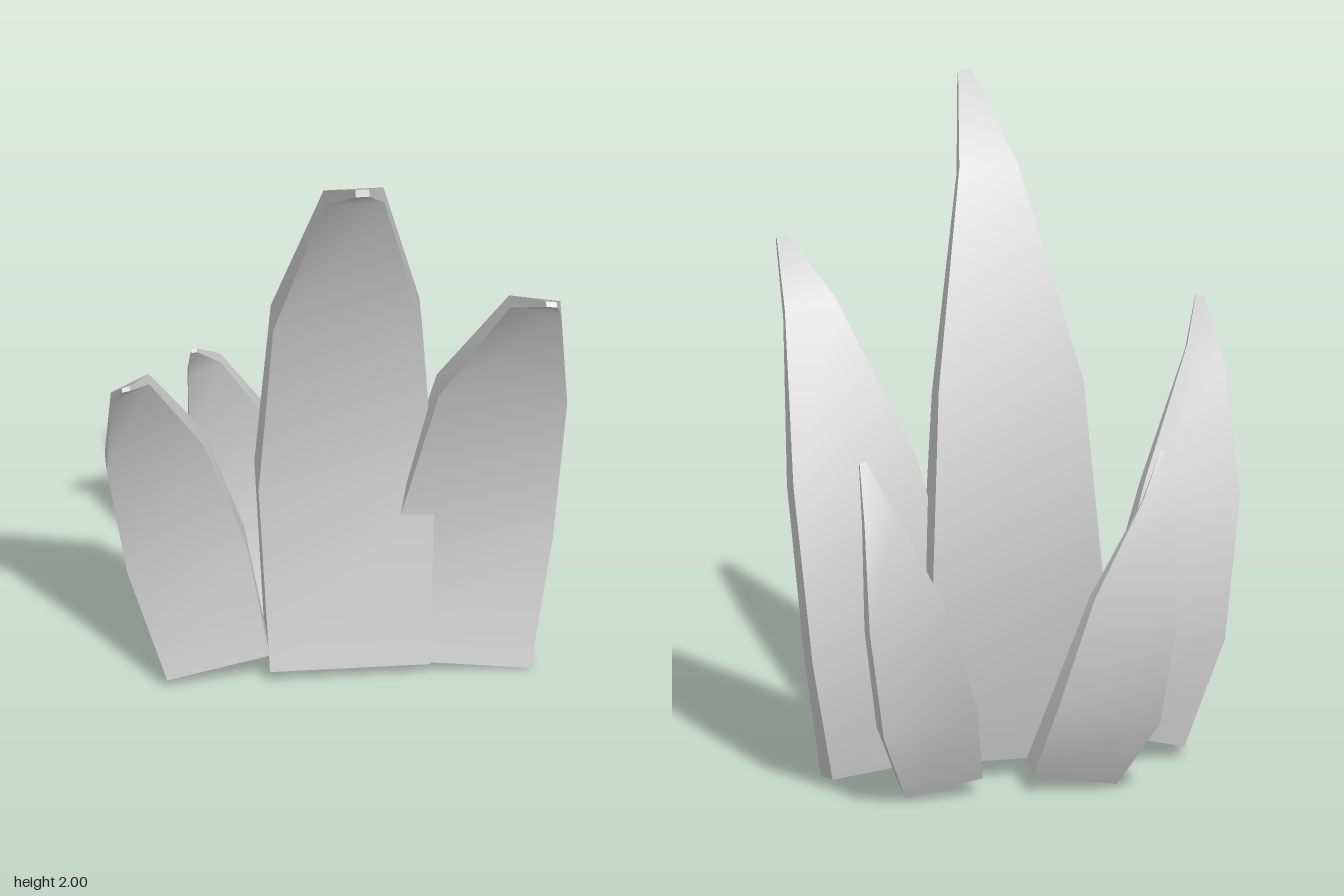
import * as THREE from 'three';

const material = new THREE.MeshStandardMaterial({ color: 0xcccccc });

// Section rows, base to tip: [x1, y1, x2, y2, zBack, zFront, rise of the back edge]
// (x1, y1) and (x2, y2) are the front edge's two ends, x1 < x2.
const blades = {
  centreBlade: [
    [-0.20, 0.05, 0.27, 0.05, -0.12, 0.05, 0.01],
    [-0.22, 0.59, 0.295, 0.59, -0.24, -0.10, 0.01],
    [-0.18, 1.18, 0.255, 1.18, -0.15, -0.065, 0.03],
    [-0.05, 1.77, 0.125, 1.77, 0.13, 0.165, 0.03],
    [0.017, 1.98, 0.057, 1.98, 0.425, 0.435, 0.02],
  ],
  leftFrontBlade: [
    [0.17, 0.055, 0.565, 0.005, -0.115, 0.03, 0.03],
    [0.185, 0.46, 0.64, 0.39, -0.18, -0.08, 0.02],
    [0.30, 0.96, 0.675, 0.91, -0.085, -0.005, 0.02],
    [0.49, 1.39, 0.64, 1.36, 0.165, 0.185, 0.03],
    [0.578, 1.535, 0.61, 1.53, 0.39, 0.40, 0.012],
  ],
  rightFrontBlade: [
    [-0.50, 0.035, -0.20, 0.105, -0.075, 0.045, 0.01],
    [-0.61, 0.37, -0.26, 0.44, -0.125, -0.03, 0.01],
    [-0.675, 0.77, -0.39, 0.84, -0.045, 0.015, 0.02],
    [-0.675, 1.12, -0.565, 1.18, 0.155, 0.18, 0.02],
    [-0.66, 1.275, -0.637, 1.28, 0.345, 0.355, 0.01],
  ],
  leftBackBlade: [
    [0.155, 0.08, 0.385, 0.035, -0.28, -0.18, -0.02],
    [0.20, 0.32, 0.48, 0.25, -0.40, -0.31, -0.01],
    [0.30, 0.63, 0.525, 0.56, -0.41, -0.345, 0.01],
    [0.435, 0.90, 0.525, 0.87, -0.345, -0.315, 0.015],
    [0.49, 1.025, 0.508, 1.02, -0.215, -0.207, 0.008],
  ],
  rightBackBlade: [
    [-0.245, 0.035, 0.005, 0.08, -0.29, -0.20, -0.02],
    [-0.345, 0.24, -0.04, 0.31, -0.415, -0.325, -0.01],
    [-0.395, 0.54, -0.145, 0.62, -0.43, -0.37, 0.01],
    [-0.405, 0.84, -0.31, 0.89, -0.36, -0.335, 0.015],
    [-0.405, 0.998, -0.388, 1.0, -0.24, -0.232, 0.008],
  ],
};

// Loft a four-cornered section; each long side is smooth lengthwise, its edges sharp
function bladeGeometry(rows) {
  const rings = rows.map(([x1, y1, x2, y2, zb, zf, rise]) => [
    [x1, y1, zf], [x2, y2, zf], [x2, y2 + rise, zb], [x1, y1 + rise, zb],
  ]);
  const points = [];
  const index = [];
  for (let side = 0; side < 4; side++) {
    const start = points.length;
    rings.forEach((ring) => points.push(ring[side], ring[(side + 1) % 4]));
    for (let k = 0; k < rings.length - 1; k++) {
      const a = start + k * 2;
      index.push(a, a + 1, a + 3, a, a + 3, a + 2);
    }
  }
  // End caps
  for (const cap of [[...rings[0]].reverse(), rings[rings.length - 1]]) {
    const a = points.length;
    points.push(...cap);
    index.push(a, a + 1, a + 2, a, a + 2, a + 3);
  }
  const geometry = new THREE.BufferGeometry();
  geometry.setAttribute('position', new THREE.Float32BufferAttribute(points.flat(), 3));
  geometry.setIndex(index);
  geometry.computeVertexNormals();
  return geometry;
}

export function createModel() {
  const group = new THREE.Group();
  group.name = 'bladeCluster';
  for (const [name, rows] of Object.entries(blades)) {
    const blade = new THREE.Mesh(bladeGeometry(rows), material);
    blade.name = name;
    group.add(blade);
  }
  return group;
}
